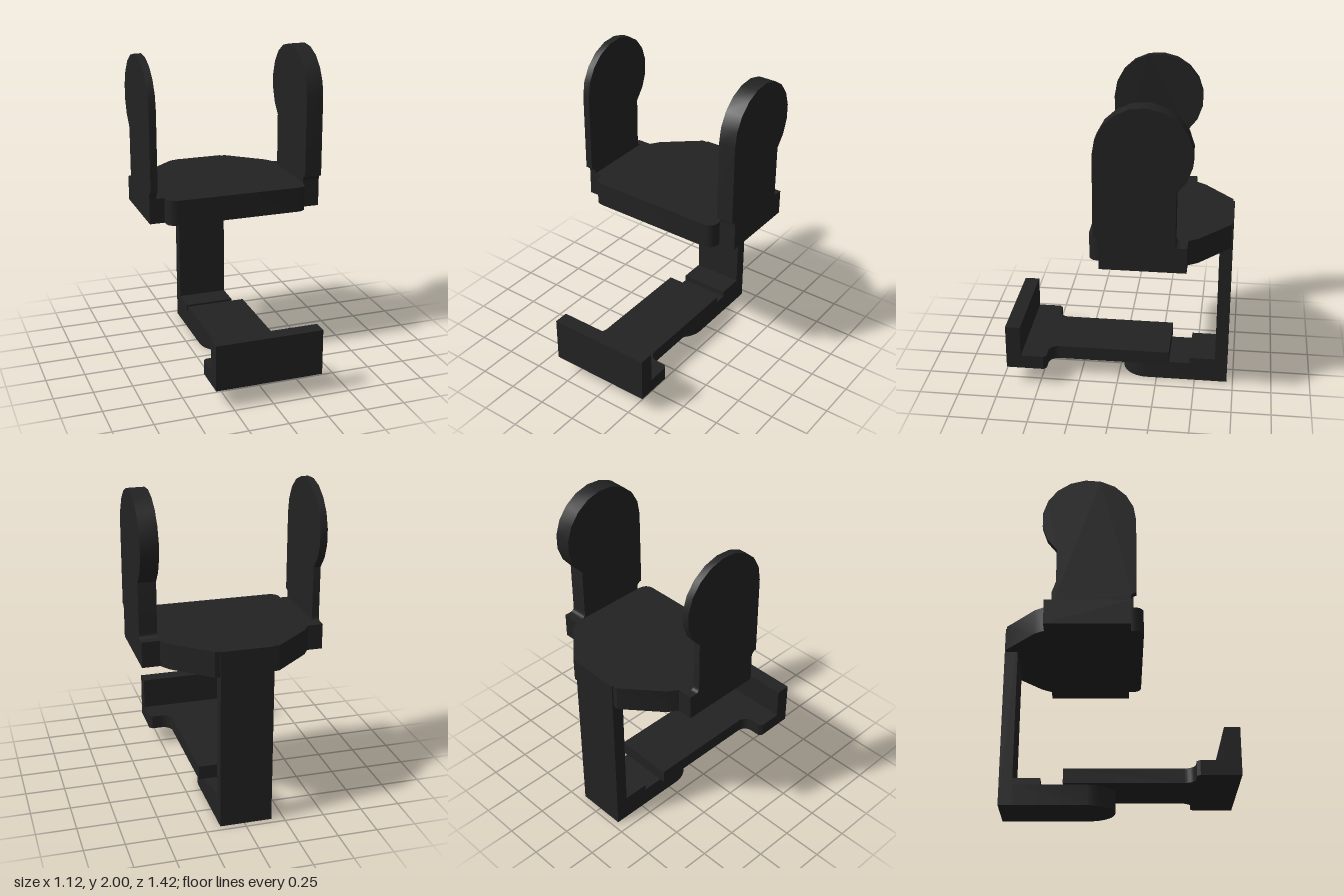
import * as THREE from 'three';
import { toCreasedNormals } from 'three/addons/utils/BufferGeometryUtils.js';

const CX = -0.01; // centre line of the plate, post and foot

export function createModel() {
  const group = new THREE.Group();
  const material = new THREE.MeshStandardMaterial({ color: 0x222222 });

  function add(name, geometry) {
    const mesh = new THREE.Mesh(geometry, material);
    mesh.name = name;
    group.add(mesh);
    return mesh;
  }

  function box(name, x0, x1, y0, y1, z0, z1) {
    const g = new THREE.BoxGeometry(x1 - x0, y1 - y0, z1 - z0);
    g.translate((x0 + x1) / 2, (y0 + y1) / 2, (z0 + z1) / 2);
    return add(name, g);
  }

  function extrude(shape, depth) {
    return new THREE.ExtrudeGeometry(shape, { depth, bevelEnabled: false, curveSegments: 8 });
  }

  // Outline drawn as (x, -z), raised from y0 to y1
  function slab(name, shape, y0, y1) {
    const g = extrude(shape, y1 - y0);
    g.rotateX(-Math.PI / 2).translate(0, y0, 0);
    return add(name, toCreasedNormals(g, 0.5));
  }

  // Outline drawn as (-z, y), spanning x0 to x1
  function sidePanel(name, shape, x0, x1) {
    const g = extrude(shape, x1 - x0);
    g.rotateY(Math.PI / 2).translate(x0, 0, 0);
    return add(name, toCreasedNormals(g, 0.5));
  }

  // Upper plate: tapered back, rounded front corners
  const plate = new THREE.Shape();
  plate.moveTo(CX - 0.39, -0.15);
  plate.lineTo(CX + 0.39, -0.15);
  plate.quadraticCurveTo(CX + 0.46, -0.15, CX + 0.46, -0.08);
  plate.lineTo(CX + 0.46, 0.45);
  plate.lineTo(CX + 0.42, 0.51);
  plate.lineTo(CX + 0.195, 0.7);
  plate.lineTo(CX - 0.195, 0.7);
  plate.lineTo(CX - 0.42, 0.51);
  plate.lineTo(CX - 0.46, 0.45);
  plate.lineTo(CX - 0.46, -0.08);
  plate.quadraticCurveTo(CX - 0.46, -0.15, CX - 0.39, -0.15);
  slab('upperPlate', plate, 0.99, 1.15);

  // Side arms: straight front edge, round head overhanging at the back
  const arm = new THREE.Shape();
  arm.moveTo(-0.07, 1.15);
  arm.lineTo(0.41, 1.15);
  arm.quadraticCurveTo(0.38, 1.15, 0.38, 1.18);
  arm.lineTo(0.38, 1.49);
  const head = new THREE.Vector2(0.185, 1.71);
  for (let i = 0; i <= 12; i++) {
    const a = THREE.MathUtils.degToRad(-48 + i * 19);
    arm.lineTo(head.x + 0.29 * Math.cos(a), head.y + 0.29 * Math.sin(a));
  }
  arm.lineTo(-0.105, 1.2);
  arm.quadraticCurveTo(-0.07, 1.195, -0.07, 1.165);
  sidePanel('rightArm', arm, -0.565, -0.52);
  sidePanel('leftArm', arm, 0.45, 0.56);
  box('rightArmBase', -0.565, -0.47, 0.99, 1.15, -0.45, 0.07);
  box('leftArmBase', 0.45, 0.56, 0.99, 1.15, -0.45, 0.07);

  // Back post
  box('post', CX - 0.163, CX + 0.163, 0, 1.15, -0.71, -0.63);

  // Foot with rounded front end, and the step against the post
  const foot = new THREE.Shape();
  foot.moveTo(CX + 0.163, 0.63);
  foot.lineTo(CX - 0.163, 0.63);
  foot.lineTo(CX - 0.163, 0.183);
  foot.absarc(CX, 0.183, 0.163, Math.PI, Math.PI * 2, false);
  slab('foot', foot, 0, 0.125);
  box('footStep', CX - 0.163, CX + 0.163, 0.125, 0.165, -0.63, -0.465);

  // T-shaped tray with filleted shoulders
  const tray = new THREE.Shape();
  const r = 0.065;
  tray.moveTo(CX - 0.343, -0.71);
  tray.lineTo(CX + 0.343, -0.71);
  tray.lineTo(CX + 0.343, -0.47);
  tray.lineTo(CX + 0.323, -0.45);
  tray.lineTo(CX + 0.197 + r, -0.45);
  tray.absarc(CX + 0.197 + r, -0.45 + r, r, -Math.PI / 2, -Math.PI, true);
  tray.lineTo(CX + 0.197, 0.33);
  tray.lineTo(CX - 0.197, 0.33);
  tray.lineTo(CX - 0.197, -0.45 + r);
  tray.absarc(CX - 0.197 - r, -0.45 + r, r, 0, -Math.PI / 2, true);
  tray.lineTo(CX - 0.323, -0.45);
  tray.lineTo(CX - 0.343, -0.47);
  slab('tray', tray, 0.125, 0.215);

  // Upright lip at the front of the tray
  box('frontLip', CX - 0.343, CX + 0.343, 0.215, 0.42, 0.615, 0.71);

  return group;
}
